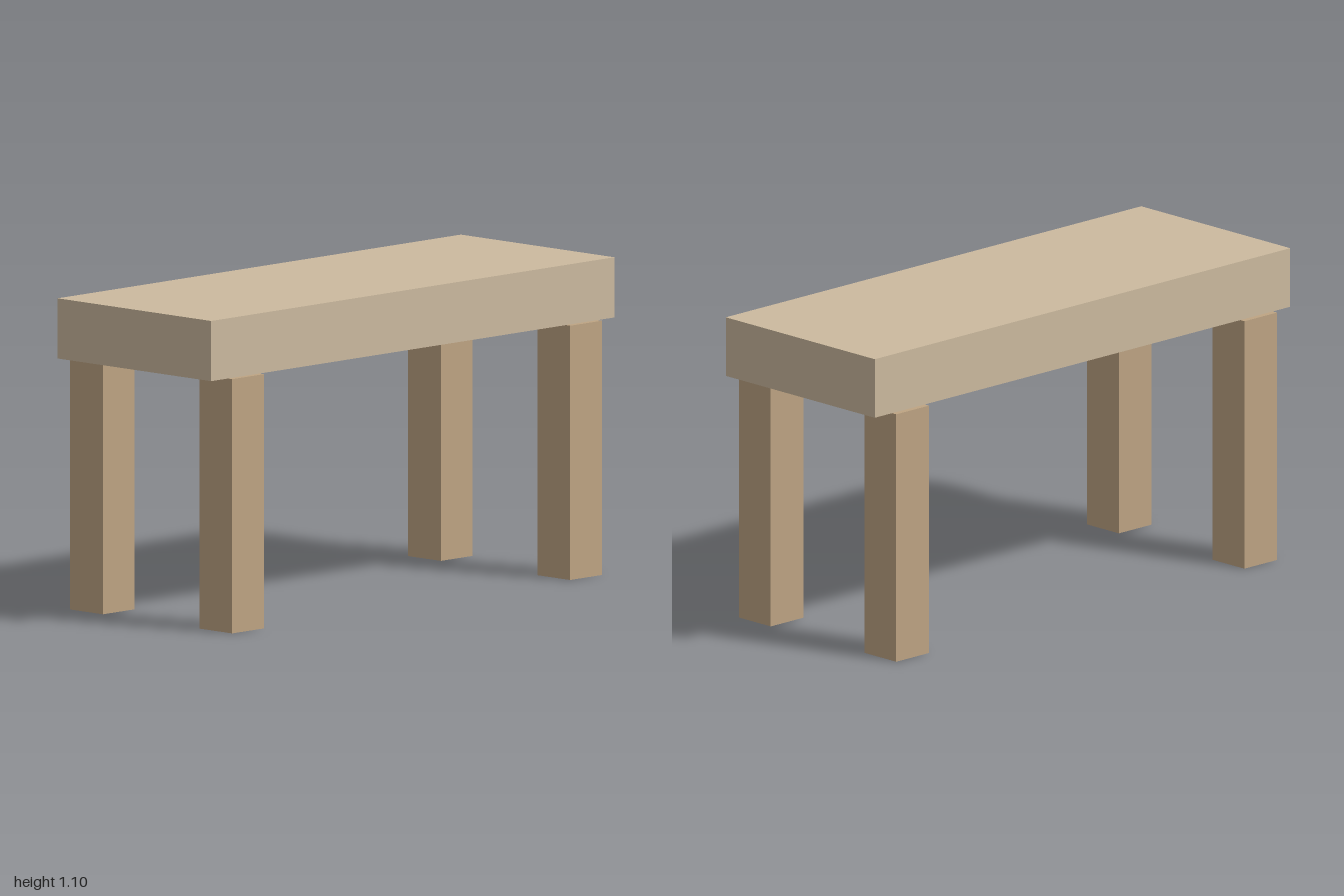
import * as THREE from 'three';

const LEG_HEIGHT = 0.887, LEG_WIDTH = 0.157;
const TOP_THICKNESS = 0.21;

export function createModel() {
  const bench = new THREE.Group();
  bench.name = 'bench';

  const topMaterial = new THREE.MeshStandardMaterial({ color: 0xccba9f });
  const legMaterial = new THREE.MeshStandardMaterial({ color: 0xbea483 });

  // Thick slab top
  const top = new THREE.Mesh(new THREE.BoxGeometry(2, TOP_THICKNESS, 0.736), topMaterial);
  top.name = 'top';
  top.position.y = LEG_HEIGHT + TOP_THICKNESS / 2;
  bench.add(top);

  // Four square legs, standing slightly proud of the long edges
  const legGeometry = new THREE.BoxGeometry(LEG_WIDTH, LEG_HEIGHT, LEG_WIDTH);
  for (const [sideName, sx] of [['Left', 1], ['Right', -1]]) {
    for (const [endName, sz] of [['front', 1], ['back', -1]]) {
      const leg = new THREE.Mesh(legGeometry, legMaterial);
      leg.name = `${endName}${sideName}Leg`;
      leg.position.set(sx * 0.838, LEG_HEIGHT / 2, sz * 0.31);
      bench.add(leg);
    }
  }

  return bench;
}
